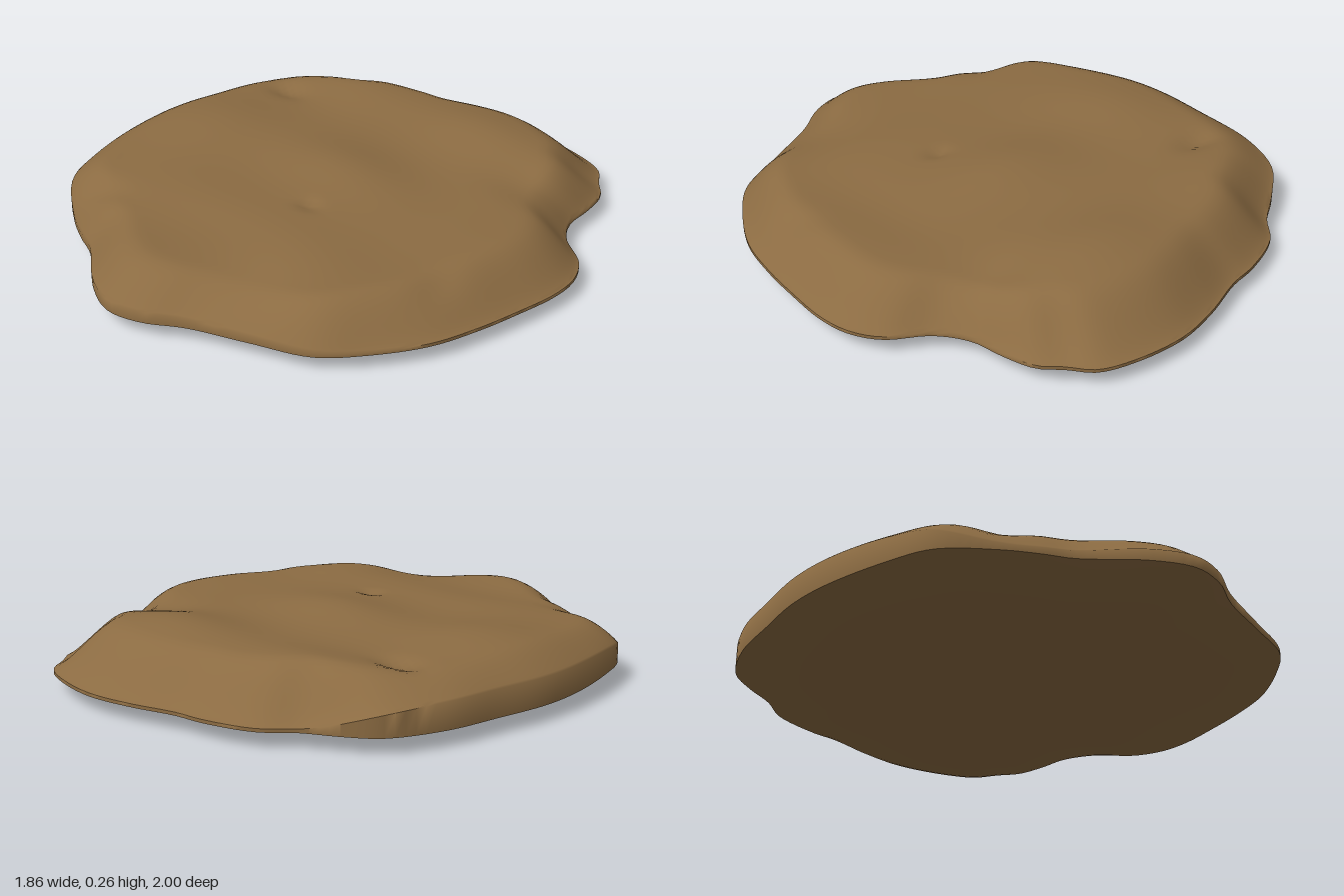
import * as THREE from 'three';
import { toCreasedNormals } from 'three/addons/utils/BufferGeometryUtils.js';

const { smoothstep, lerp } = THREE.MathUtils;

// Outline of the slab seen from above, as x, z pairs
const OUTLINE = [
  [0.18, -1], [0.38, -0.97], [0.5, -0.92], [0.56, -0.84], [0.62, -0.77], [0.65, -0.65], [0.665, -0.53],
  [0.73, -0.42], [0.86, -0.32], [0.915, -0.22], [0.93, -0.1], [0.91, 0.08], [0.88, 0.25], [0.83, 0.42],
  [0.72, 0.6], [0.61, 0.72], [0.41, 0.805], [0.2, 0.89], [0.07, 0.97], [-0.06, 1], [-0.2, 0.95],
  [-0.4, 0.81], [-0.5, 0.77], [-0.62, 0.71], [-0.78, 0.59], [-0.85, 0.43], [-0.915, 0.18], [-0.93, 0],
  [-0.91, -0.2], [-0.88, -0.42], [-0.8, -0.61], [-0.7, -0.69], [-0.58, -0.76], [-0.48, -0.85],
  [-0.3, -0.91], [-0.18, -0.925], [0, -0.975],
];

// Soft swells and dents of the top: x, z, height, x radius, z radius
const BUMPS = [
  [0.15, -0.62, 0.05, 0.32, 0.2], [-0.5, -0.6, 0.032, 0.3, 0.18], [0, -0.04, 0.038, 0.3, 0.18],
  [-0.62, 0, 0.034, 0.24, 0.3], [0.33, 0.76, -0.04, 0.2, 0.18], [-0.3, 0.65, -0.012, 0.4, 0.2],
  [0.1, 0.42, 0.01, 0.4, 0.14], [0.57, -0.45, -0.03, 0.2, 0.13], [0.5, 0.1, -0.012, 0.15, 0.4],
  [-0.64, -0.38, -0.025, 0.09, 0.05], [0.1, 0.23, -0.016, 0.05, 0.03], [0.52, -0.8, -0.02, 0.06, 0.12],
  [0.74, 0.28, -0.015, 0.06, 0.1], [-0.57, 0.64, -0.025, 0.12, 0.06],
];

function topHeight(x, z) {
  let y = 0.214 + 0.004 * Math.sin(7 * x + 3 * z) * Math.sin(8 * z - 2 * x);
  for (const [cx, cz, h, rx, rz] of BUMPS) {
    y += h * Math.exp(-(((x - cx) / rx) ** 2) - ((z - cz) / rz) ** 2);
  }
  return y;
}

// Nearly flat base, bowed across x, that turns up at the outline
function underside(x, z, s) {
  const base = 0.009 + 0.035 * x * x + 0.006 * Math.sin(5 * x + 3) * Math.cos(5 * z);
  return lerp(base, 0.062, s ** 8);
}

// How blunt (-x side), pointed (front) or sloping (+x side and back) the rim is
const blunt = (x) => smoothstep(-x, 0.55, 0.93);
const tip = (z) => smoothstep(z, 0.6, 1);
const slope = (x, z) => Math.max(smoothstep(x, 0.5, 0.93), smoothstep(-z, 0.2, 0.9));

function slabGeometry() {
  const curve = new THREE.CatmullRomCurve3(OUTLINE.map(([x, z]) => new THREE.Vector3(x, 0, z)), true);
  const n = 180;
  const edge = curve.getSpacedPoints(n).slice(0, n);
  const under = [0.15, 0.3, 0.45, 0.6, 0.7, 0.77, 0.83, 0.88, 0.92, 0.96, 1];
  const over = [1, 0.993, 0.983, 0.97, 0.955, 0.935, 0.91, 0.885, 0.86, 0.835, 0.81];
  for (let s = 0.78; s > 0.02; s -= 0.03) over.push(s);

  const pos = [0, underside(0, 0, 0), 0];
  for (const s of under) {
    for (const p of edge) pos.push(p.x * s, underside(p.x * s, p.z * s, s), p.z * s);
  }
  for (const s of over) {
    for (const p of edge) {
      const x = p.x * s, z = p.z * s;
      const rim = 0.074 + 0.085 * blunt(p.x) + 0.03 * tip(p.z);
      const width = 0.15 + 0.05 * tip(p.z) + 0.08 * slope(p.x, p.z);
      const power = 0.9 + 0.25 * tip(p.z) + 0.45 * slope(p.x, p.z);
      const f = Math.sin(Math.min(1, (1 - s) / width) * Math.PI / 2) ** power;
      pos.push(x, lerp(rim, topHeight(x, z), f), z);
    }
  }
  pos.push(0, topHeight(0, 0), 0);

  // Join the rings, then close both centres
  const index = [];
  const rings = under.length + over.length;
  const last = 1 + rings * n;
  for (let i = 0; i < n; i++) {
    const k = (i + 1) % n;
    index.push(0, 1 + i, 1 + k);
    for (let j = 0; j < rings - 1; j++) {
      const a = 1 + j * n + i, b = 1 + j * n + k;
      index.push(a, a + n, b, b, a + n, b + n);
    }
    index.push(last - n + i, last, last - n + k);
  }
  const g = new THREE.BufferGeometry();
  g.setAttribute('position', new THREE.Float32BufferAttribute(pos, 3));
  g.setIndex(index);
  return toCreasedNormals(g, 1.1);
}

export function createModel() {
  const group = new THREE.Group();
  group.name = 'flatStone';
  const brown = new THREE.MeshStandardMaterial({ color: 0x8b6b42 });
  brown.name = 'earth brown';
  const slab = new THREE.Mesh(slabGeometry(), brown);
  slab.name = 'stoneSlab';
  group.add(slab);

  // Rest on the ground, centred
  const box = new THREE.Box3().setFromObject(slab);
  const c = box.getCenter(new THREE.Vector3());
  slab.position.set(-c.x, -box.min.y, -c.z);
  return group;
}
